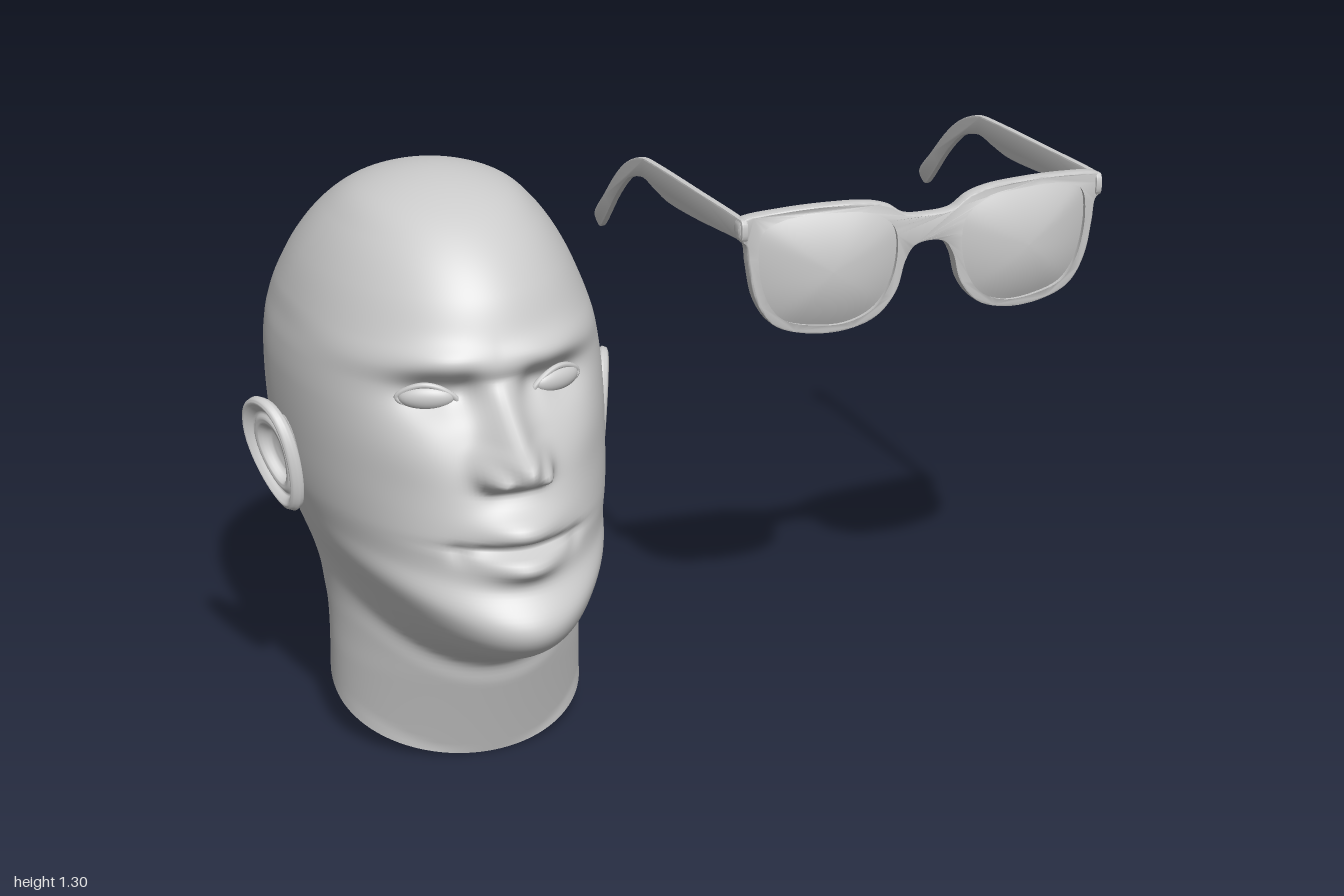
import * as THREE from 'three';
import { toCreasedNormals } from 'three/addons/utils/BufferGeometryUtils.js';

const material = new THREE.MeshStandardMaterial({ color: 0xcccccc, side: THREE.DoubleSide });

function mesh(name, geometry, parent) {
  const m = new THREE.Mesh(geometry, material);
  m.name = name;
  parent.add(m);
  return m;
}

// Surface through rows of points; columns wrap round
function loft(rows, cols, point) {
  const pos = [], index = [];
  for (let i = 0; i <= rows; i++)
    for (let j = 0; j < cols; j++) pos.push(...point(i / rows, j / cols));
  for (let i = 0; i < rows; i++)
    for (let j = 0; j < cols; j++) {
      const k = (j + 1) % cols, a = i * cols, b = a + cols;
      index.push(a + j, b + j, a + k, a + k, b + j, b + k);
    }
  const g = new THREE.BufferGeometry();
  g.setAttribute('position', new THREE.Float32BufferAttribute(pos, 3));
  g.setIndex(index);
  g.computeVertexNormals();
  return g;
}

// Smooth table lookup: column c of rows keyed by ascending column 0
function lookup(t, c, q) {
  const n = t.length - 1;
  if (q <= t[0][0]) return t[0][c];
  if (q >= t[n][0]) return t[n][c];
  let i = 0;
  while (q > t[i + 1][0]) i++;
  const slope = k => {
    const a = t[Math.max(k - 1, 0)], b = t[Math.min(k + 1, n)];
    return (b[c] - a[c]) / (b[0] - a[0]);
  };
  const h = t[i + 1][0] - t[i][0], s = (q - t[i][0]) / h, s2 = s * s, s3 = s2 * s;
  return (2 * s3 - 3 * s2 + 1) * t[i][c] + (s3 - 2 * s2 + s) * h * slope(i)
    + (3 * s2 - 2 * s3) * t[i + 1][c] + (s3 - s2) * h * slope(i + 1);
}

// Head sections: height, front z, back z, half width, z of widest point, roundness
const TOP = 1.3;
const depthOf = y => Math.sqrt(Math.max(TOP - y, 0));
const sections = [
  [1.3, 0, 0, 0, 0, 2], [1.264, .197, -.187, .165, 0, 2], [1.205, .3, -.295, .235, -.02, 2],
  [1.118, .385, -.39, .295, -.04, 2], [1.03, .43, -.445, .332, -.05, 2.1], [.98, .452, -.467, .345, -.05, 2.2],
  [.93, .447, -.48, .357, -.05, 2.2], [.86, .47, -.486, .365, -.05, 2.15], [.736, .53, -.472, .365, -.05, 2.05],
  [.615, .575, -.43, .355, -.04, 2], [.52, .592, -.345, .33, -.01, 2], [.44, .645, -.24, .305, .02, 1.95],
  [.39, .635, -.204, .295, .04, 1.95], [.345, .58, -.193, .29, .05, 2], [.3, .49, -.186, .288, .07, 2],
  [.262, .42, -.185, .288, .08, 2], [.2, .4, -.183, .29, .09, 2], [0, .336, -.18, .295, .09, 2],
].map(([y, ...r]) => [depthOf(y), ...r]);

// Nose ridge: height, projection, half width
const nose = [[.722, 0, .06], [.745, .06, .06], [.77, .118, .058], [.806, .143, .052],
  [.833, .1, .045], [.903, .035, .036], [.95, 0, .036]];

// Face bumps and hollows: x, y, x radius, y radius, amount
const features = [
  [.058, .765, .024, .026, .05], [.15, .915, .075, .045, -.035], [.075, .92, .03, .04, -.02],
  [.13, 1, .09, .03, .014], [.2, .8, .08, .07, .014], [0, .645, .085, .034, .042],
  [0, .565, .08, .03, .042], [0, .604, .12, .011, -.034], [.135, .592, .02, .02, -.01],
];
const bell = (v, c, s) => Math.exp(-(((v - c) / s) ** 2));

function headPoint(u, v) {
  const t = v * Math.PI * 2;
  const a = t - .5 * Math.sin(t); // closer columns across the face
  const c = Math.cos(a), s = Math.sin(a);
  const q = u * depthOf(.1 - .1 * c); // slanted neck cut
  const y = TOP - q * q;
  // Jaw line rises from chin to ear
  const lift = .12 * (1 - THREE.MathUtils.smoothstep(y, .42, .66)) * s * s;
  const front = lookup(sections, 1, depthOf(y - lift));
  const [back, w, mid, n] = [2, 3, 4, 5].map(k => lookup(sections, k, q));
  const x = w * Math.sign(s) * Math.abs(s) ** (2 / n);
  const reach = Math.abs(c) ** (2 / n);
  let z = c > 0 ? mid + (front - mid) * reach : mid + (back - mid) * reach;
  if (c > 0) {
    const X = Math.abs(x);
    z += lookup(nose, 1, y) * bell(X, 0, lookup(nose, 2, y));
    for (const [fx, fy, sx, sy, amount] of features) z += amount * bell(X, fx, sx) * bell(y, fy, sy);
  }
  return [x, y, z];
}

// Ear cross-section from hollow over the rim to the back: radius, offset
const earProfile = [[0, -.022], [.2, -.022], [.4, -.018], [.52, .004], [.62, .006], [.72, -.002], [.8, .008],
  [.89, .016], [.96, .012], [1, 0], [.96, -.012], [.85, -.018], [.7, -.03], [.55, -.06]];

function earPoint(u, v) {
  const k = u * (earProfile.length - 1), i = Math.min(Math.floor(k), earProfile.length - 2);
  const mix = n => THREE.MathUtils.lerp(earProfile[i][n], earProfile[i + 1][n], k - i);
  const a = v * Math.PI * 2, r = mix(0);
  const p = r * (.077 + .018 * Math.sin(a)) * Math.cos(a), h = r * .135 * Math.sin(a);
  const back = p * .93 + h * .36, up = h * .93 - p * .36;
  return [.392 + .35 * back + .08 * up + mix(1), .675 + up, .02 - back];
}

function buildHead() {
  const head = new THREE.Group();
  head.name = 'head';
  head.position.x = -.57;
  mesh('headAndNeck', loft(200, 128, headPoint), head);
  for (const side of [1, -1]) {
    const half = new THREE.Group();
    half.name = side > 0 ? 'leftFeatures' : 'rightFeatures';
    half.scale.x = side;
    head.add(half);
    mesh('ear', loft(39, 40, earPoint), half);

    // Eye with an almond of eyelid around it
    const eye = new THREE.Group();
    eye.name = 'eye';
    eye.position.set(.15, .908, .383);
    eye.rotation.y = .4;
    half.add(eye);
    mesh('eyeball', new THREE.SphereGeometry(1, 32, 20).scale(.062, .029, .024), eye);
    const lid = [[-.066, -.008], [-.035, .02], [0, .03], [.035, .022], [.064, 0], [.03, -.021], [-.02, -.023]]
      .map(([x, y]) => new THREE.Vector3(x, y, .008 - 2 * x * x));
    mesh('eyelid', new THREE.TubeGeometry(new THREE.CatmullRomCurve3(lid, true), 48, .007, 8, true), eye);
  }
  return head;
}

const smoothLoop = (pts, n) => new THREE.CatmullRomCurve3(
  pts.map(([x, y]) => new THREE.Vector3(x, y, 0)), true).getPoints(n).slice(0, -1);

// Wrap of the frame front around the face
const bend = x => -.035 * (x / .465) ** 2;

function buildGlasses() {
  const glasses = new THREE.Group();
  glasses.name = 'sunglasses';
  glasses.position.x = .53;

  const halfRim = [[.06, 1.143], [.1, 1.168], [.15, 1.182], [.25, 1.187], [.36, 1.183], [.45, 1.171], [.46, 1.162],
    [.459, 1.125], [.445, 1.11], [.438, 1.06], [.42, .975], [.38, .915], [.31, .888], [.21, .884],
    [.13, .91], [.083, .965], [.062, 1.035], [.04, 1.068]];
  const lensEdge = [[.08, 1.06], [.09, 1.12], [.14, 1.158], [.25, 1.172], [.36, 1.165], [.408, 1.14],
    [.42, 1.08], [.402, .98], [.362, .925], [.29, .902], [.2, .9], [.133, .93], [.096, .985]];
  const mirror = pts => pts.map(([x, y]) => [-x, y]).reverse();

  // Frame front with two lens openings
  const outline = [[0, 1.138], ...halfRim, [0, 1.077], ...mirror(halfRim)];
  const shape = new THREE.Shape(smoothLoop(outline, 200));
  for (const edge of [lensEdge, mirror(lensEdge)]) shape.holes.push(new THREE.Path(smoothLoop(edge, 72)));
  const frame = new THREE.ExtrudeGeometry(shape, {
    depth: .022, bevelEnabled: true, bevelThickness: .005, bevelSize: .004, bevelOffset: -.002, bevelSegments: 2,
  });
  const p = frame.attributes.position;
  for (let i = 0; i < p.count; i++) p.setZ(i, p.getZ(i) + .275 + bend(p.getX(i)));
  mesh('frameFront', toCreasedNormals(frame, .7), glasses);

  // Domed lenses
  const rim = smoothLoop(lensEdge, 72);
  for (const side of [1, -1]) {
    mesh(side > 0 ? 'leftLens' : 'rightLens', loft(12, rim.length, (u, v) => {
      const e = rim[Math.round(v * rim.length)];
      const x = .25 + (e.x - .25) * u, y = 1.035 + (e.y - 1.035) * u;
      return [side * x, y, .289 + bend(x) + .036 * (1 - u * u)];
    }), glasses);
  }

  // Temples drawn in side outline, thin in x
  const arm = [[.27, 1.168], [.24, 1.17], [0, 1.161], [-.25, 1.15], [-.33, 1.143], [-.385, 1.125], [-.44, 1.097],
    [-.5, 1.052], [-.58, .975], [-.642, .912], [-.64, .9], [-.615, .885], [-.605, .886], [-.5, .997], [-.44, 1.05],
    [-.405, 1.073], [-.32, 1.097], [-.25, 1.09], [-.17, 1.083], [-.02, 1.092], [.24, 1.12], [.27, 1.122]];
  const armShape = new THREE.Shape(smoothLoop(arm, 132));
  for (const side of [1, -1]) {
    const g = new THREE.ExtrudeGeometry(armShape, {
      depth: .008, bevelEnabled: true, bevelThickness: .004, bevelSize: .004, bevelOffset: -.003, bevelSegments: 2,
    });
    const temple = mesh(side > 0 ? 'leftTemple' : 'rightTemple', toCreasedNormals(g, .7), glasses);
    temple.rotation.y = -Math.PI / 2;
    temple.position.x = side * .452 + .004;
  }
  return glasses;
}

export function createModel() {
  const model = new THREE.Group();
  model.name = 'headWithSunglasses';
  model.add(buildHead(), buildGlasses());
  return model;
}
